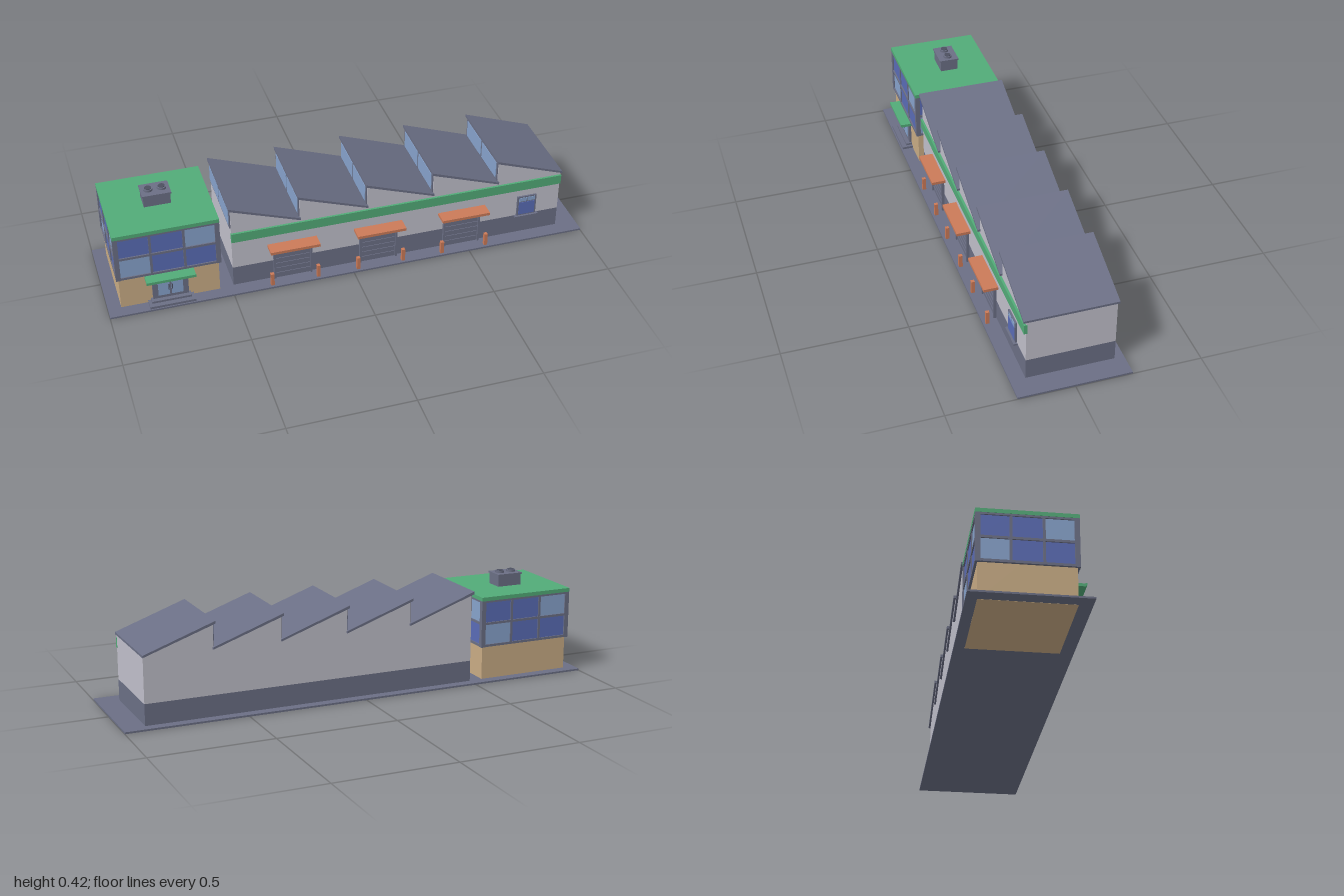
import * as THREE from 'three';

const mat = (name, color) => Object.assign(new THREE.MeshStandardMaterial({ color }), { name });
const M = {
  slate: mat('slate', 0x6b6f85),
  dark: mat('dark slate', 0x4c5060),
  wall: mat('pale wall', 0xc0bfca),
  green: mat('green', 0x52ab78),
  orange: mat('orange', 0xcb7a58),
  tan: mat('tan', 0xc9ac85),
  blue: mat('blue glass', 0x5a6cb6),
  sky: mat('light glass', 0x87a3cc),
};

// Box given by its limits on each axis
function box(parent, name, material, x0, x1, y0, y1, z0, z1) {
  const m = new THREE.Mesh(new THREE.BoxGeometry(x1 - x0, y1 - y0, z1 - z0), material);
  m.position.set((x0 + x1) / 2, (y0 + y1) / 2, (z0 + z1) / 2);
  m.name = name;
  parent.add(m);
  return m;
}

// Side profile in x, y pulled along z
function prism(parent, name, material, points, z0, z1) {
  const shape = new THREE.Shape(points.map(([x, y]) => new THREE.Vector2(x, y)));
  const m = new THREE.Mesh(new THREE.ExtrudeGeometry(shape, { depth: z1 - z0, bevelEnabled: false }), material);
  m.position.z = z0;
  m.name = name;
  parent.add(m);
}

function group(parent, name) {
  const g = new THREE.Group();
  g.name = name;
  parent.add(g);
  return g;
}

// Two rows of three panes on one office face; local +z points outwards
function officeGlazing(parent, width) {
  const g = group(parent, 'officeGlazing');
  const h = width / 2, step = width / 3, y0 = 0.148, y1 = 0.345, rows = (y1 - y0) / 2;
  for (let i = 0; i < 3; i++) {
    for (let j = 0; j < 2; j++) {
      const x = -h + i * step, y = y0 + j * rows;
      box(g, 'officePane', (i + j) % 3 === 0 ? M.sky : M.blue,
        x + 0.004, x + step - 0.004, y + 0.004, y + rows - 0.004, 0, 0.004);
    }
  }
  for (let i = 1; i < 3; i++) {
    const x = -h + i * step;
    box(g, 'mullion', M.slate, x - 0.005, x + 0.005, y0, y1, 0, 0.008);
  }
  [y0 + 0.004, (y0 + y1) / 2, y1 - 0.004].forEach((y) =>
    box(g, 'transom', M.slate, -h, h, y - 0.005, y + 0.005, 0, 0.009));
  return g;
}

function buildOffice(parent) {
  const g = group(parent, 'office');
  const x0 = -0.947, x1 = -0.547, z0 = -0.184, z1 = 0.173;
  const cx = (x0 + x1) / 2, cz = (z0 + z1) / 2;
  box(g, 'officeBody', M.tan, x0, x1, 0, 0.345, z0, z1);
  box(g, 'officeRoof', M.green, x0 - 0.01, x1 + 0.01, 0.344, 0.36, z0 - 0.01, z1 + 0.01);

  // Glazing round all four sides, with corner posts
  const w = x1 - x0, d = z1 - z0;
  [[cx, z1, 0, w], [x1, cz, 1, d], [cx, z0, 2, w], [x0, cz, 3, d]].forEach(([x, z, turn, width]) => {
    const face = officeGlazing(g, width);
    face.position.set(x, 0, z);
    face.rotation.y = turn * Math.PI / 2;
    if (turn % 2) face.position.x = x;
  });
  for (const x of [x0, x1]) {
    for (const z of [z0, z1]) {
      box(g, 'cornerPost', M.slate, x - 0.0095, x + 0.0095, 0.146, 0.3445, z - 0.0095, z + 0.0095);
    }
  }

  // Entrance with steps, double door and canopy
  const e = group(g, 'entrance');
  box(e, 'lowerStep', M.slate, cx - 0.092, cx + 0.092, 0.006, 0.018, z1 - 0.005, 0.22);
  box(e, 'upperStep', M.slate, cx - 0.08, cx + 0.08, 0.006, 0.027, z1 - 0.005, 0.2);
  box(e, 'doorFrame', M.slate, cx - 0.072, cx + 0.072, 0.02, 0.13, z1 - 0.005, 0.183);
  for (const s of [-1, 1]) {
    box(e, 'doorGlass', M.sky, cx + s * 0.027 - 0.023, cx + s * 0.027 + 0.023, 0.04, 0.12, 0.18, 0.185);
    box(e, 'doorHandle', M.dark, cx + s * 0.007 - 0.002, cx + s * 0.007 + 0.002, 0.065, 0.09, 0.184, 0.188);
  }
  box(e, 'entranceCanopy', M.green, cx - 0.098, cx + 0.098, 0.13, 0.142, z1 - 0.005, 0.222);
  box(e, 'canopyLip', M.green, cx - 0.099, cx + 0.099, 0.134, 0.144, 0.219, 0.225);

  // Rooftop cooling unit
  const c = group(g, 'coolingUnit');
  box(c, 'coolerBody', M.slate, cx - 0.054, cx + 0.054, 0.355, 0.408, -0.053, 0.023);
  box(c, 'coolerLid', M.slate, cx - 0.058, cx + 0.058, 0.407, 0.413, -0.057, 0.027);
  for (const s of [-1, 1]) {
    const ring = new THREE.Mesh(new THREE.CylinderGeometry(0.019, 0.019, 0.01, 12), M.slate);
    ring.position.set(cx + s * 0.027, 0.417, -0.015);
    ring.name = 'fanHousing';
    const fan = new THREE.Mesh(new THREE.CylinderGeometry(0.014, 0.014, 0.004, 12), M.dark);
    fan.position.set(cx + s * 0.027, 0.422, -0.015);
    fan.name = 'fan';
    c.add(ring, fan);
  }
}

function buildHall(parent) {
  const g = group(parent, 'factoryHall');
  const x0 = -0.49, x1 = 0.91, z0 = -0.187, z1 = 0.165, bay = 0.28, low = 0.278, high = 0.38;
  box(g, 'hallPlinth', M.slate, x0, x1, 0.005, 0.095, z0, z1);

  // Sawtooth walls as one profile
  const profile = [[x0, 0.095], [x1, 0.095]];
  for (let i = 4; i >= 0; i--) {
    profile.push([x0 + (i + 1) * bay, low], [x0 + i * bay, high]);
  }
  prism(g, 'hallWalls', M.wall, profile, z0, z1);
  box(g, 'greenBand', M.green, x0 - 0.001, x1 + 0.001, 0.225, 0.266, z1 - 0.004, z1 + 0.009);

  // Roof slabs and the upright skylights under their high edges
  for (let i = 0; i < 5; i++) {
    const a = x0 + i * bay, b = a + bay;
    prism(g, 'roofSlab', M.slate,
      [[a - 0.008, high], [b + 0.003, low], [b + 0.003, low + 0.009], [a - 0.008, high + 0.011]], -0.195, 0.176);
    const s = group(g, 'skylight');
    box(s, 'skylightFrame', M.slate, a - 0.004, a + 0.002, 0.288, 0.381, z0 + 0.004, z1 - 0.004);
    for (const z of [z0 + 0.014, (z0 + z1) / 2 + 0.006]) {
      box(s, 'skylightPane', M.sky, a - 0.006, a, 0.298, 0.371, z, z + 0.156);
    }
  }

  // Loading bays
  for (const x of [-0.243, 0.118, 0.479]) {
    const d = group(g, 'loadingBay');
    box(d, 'shutter', M.slate, x - 0.074, x + 0.074, 0.008, 0.158, z1 - 0.004, z1 + 0.005);
    for (let i = 1; i < 6; i++) {
      const y = 0.008 + i * 0.024;
      box(d, 'shutterRib', M.slate, x - 0.07, x + 0.07, y - 0.002, y + 0.002, z1, z1 + 0.008);
    }
    for (const s of [-1, 1]) {
      box(d, 'shutterRail', M.slate, x + s * 0.076 - 0.004, x + s * 0.076 + 0.004, 0.008, 0.163, z1 - 0.004, z1 + 0.012);
      box(d, 'bollard', M.orange, x + s * 0.096 - 0.007, x + s * 0.096 + 0.007, 0.006, 0.063, 0.2, 0.215);
    }
    box(d, 'shutterHead', M.slate, x - 0.08, x + 0.08, 0.155, 0.165, z1 - 0.004, z1 + 0.012);
    box(d, 'bayCanopy', M.orange, x - 0.102, x + 0.102, 0.167, 0.179, z1 - 0.004, 0.223);
  }

  // Small office window
  const w = group(g, 'hallWindow');
  box(w, 'windowFrame', M.slate, 0.724, 0.808, 0.095, 0.19, z1 - 0.004, z1 + 0.007);
  box(w, 'lowerGlass', M.blue, 0.731, 0.801, 0.102, 0.162, z1 + 0.003, z1 + 0.009);
  box(w, 'upperGlassLeft', M.sky, 0.731, 0.764, 0.167, 0.184, z1 + 0.003, z1 + 0.009);
  box(w, 'upperGlassRight', M.sky, 0.768, 0.801, 0.167, 0.184, z1 + 0.003, z1 + 0.009);
  box(w, 'windowSill', M.slate, 0.715, 0.817, 0.09, 0.097, z1 - 0.004, 0.181);
}

export function createModel() {
  const model = new THREE.Group();
  model.name = 'factory';
  box(model, 'groundSlab', M.slate, -1, 1, 0.0006, 0.008, -0.225, 0.225);
  buildOffice(model);
  buildHall(model);
  return model;
}
